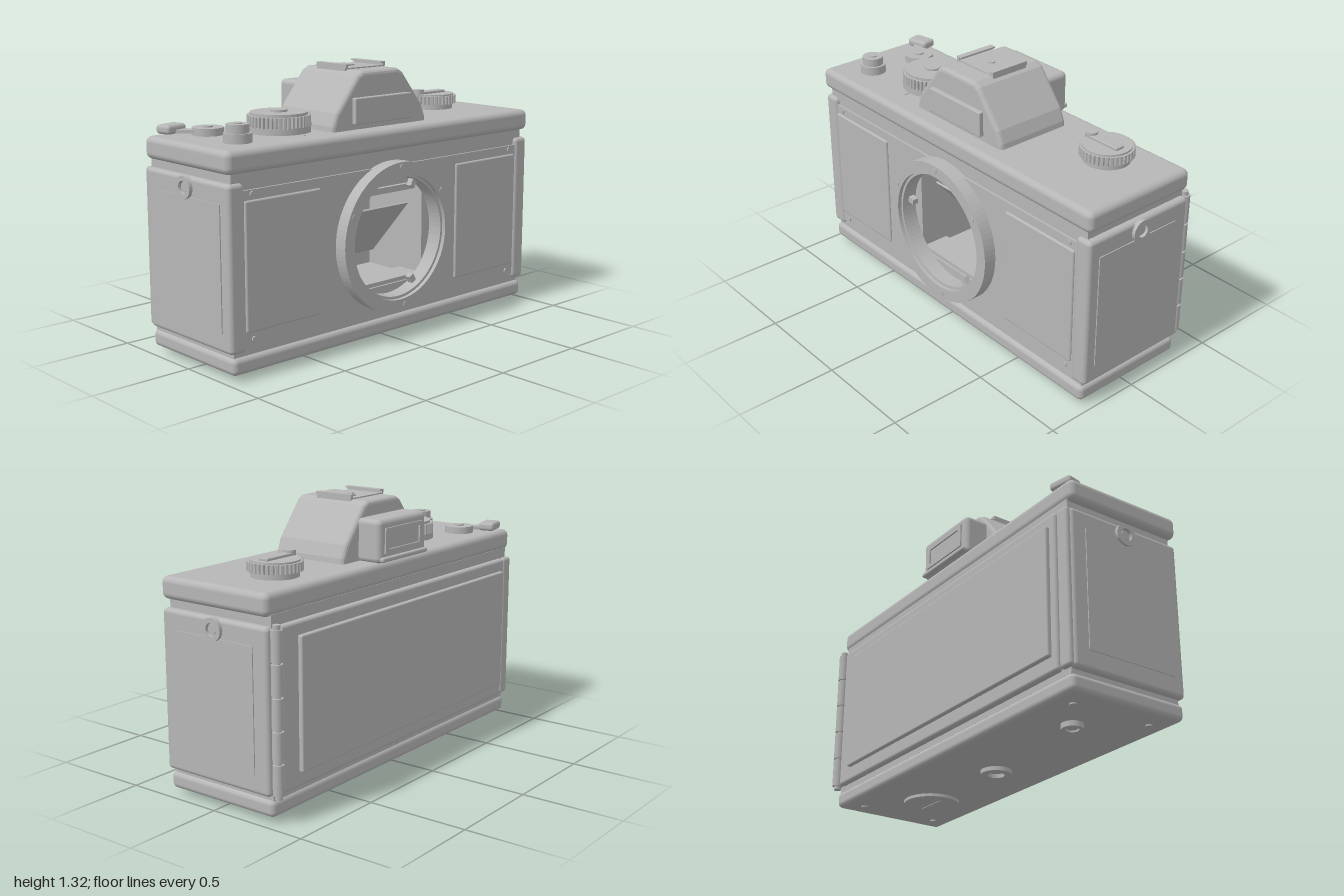
import * as THREE from 'three';
import { RoundedBoxGeometry } from 'three/addons/geometries/RoundedBoxGeometry.js';

export function createModel() {
  const camera = new THREE.Group();
  camera.name = 'filmCamera';
  const grey = new THREE.MeshStandardMaterial({ color: 0xb6b6b6 });
  grey.name = 'grey';

  const add = (name, geometry, parent = camera) => {
    const mesh = new THREE.Mesh(geometry, grey);
    mesh.name = name;
    parent.add(mesh);
    return mesh;
  };
  // Box given by its limits on each axis; a radius rounds its edges
  const box = (name, [x0, x1], [y0, y1], [z0, z1], r = 0, parent = camera) => {
    const w = x1 - x0, h = y1 - y0, d = z1 - z0;
    const g = r ? new RoundedBoxGeometry(w, h, d, 3, r) : new THREE.BoxGeometry(w, h, d);
    g.translate((x0 + x1) / 2, (y0 + y1) / 2, (z0 + z1) / 2);
    return add(name, g, parent);
  };
  // Disc along an axis, from a to b; u and v are the other two coordinates in x, y, z order
  const disc = (name, axis, u, v, a, b, r, sides = 40) => {
    const g = new THREE.CylinderGeometry(r, r, Math.abs(b - a), sides);
    const m = (a + b) / 2;
    if (axis === 'x') g.rotateZ(Math.PI / 2).translate(m, u, v);
    else if (axis === 'z') g.rotateX(Math.PI / 2).translate(u, v, m);
    else g.translate(u, m, v);
    return add(name, g);
  };
  const rect = (C, x0, x1, y0, y1) =>
    new C([[x0, y0], [x1, y0], [x1, y1], [x0, y1]].map(p => new THREE.Vector2(...p)));
  const circle = (C, x, y, r) => {
    const c = new C();
    c.absarc(x, y, r, 0, Math.PI * 2);
    return c;
  };
  const extrude = (shape, z0, z1) =>
    new THREE.ExtrudeGeometry(shape, { depth: z1 - z0, bevelEnabled: false, curveSegments: 40 }).translate(0, 0, z0);
  // Ring with a square section, facing +z
  const ring = (r, hole, z0, z1, x = 0, y = 0) => {
    const s = circle(THREE.Shape, x, y, r);
    s.holes.push(circle(THREE.Path, x, y, hole));
    return extrude(s, z0, z1);
  };

  // Covers and body core
  box('topCover', [-0.99, 0.985], [0.92, 1.025], [-0.315, 0.305], 0.03);
  box('bottomCover', [-0.97, 0.965], [0.025, 0.105], [-0.32, 0.3], 0.025);
  box('bodyBack', [-0.955, 0.95], [0.1, 0.93], [-0.31, -0.12]);

  const core = rect(THREE.Shape, -0.955, 0.95, 0.1, 0.93);
  core.holes.push(rect(THREE.Path, -0.245, 0.245, 0.25, 0.74));
  add('mirrorChamber', extrude(core, -0.12, 0.25));
  const front = rect(THREE.Shape, -0.955, 0.95, 0.1, 0.93);
  front.holes.push(circle(THREE.Path, 0, 0.505, 0.3));
  add('frontWall', extrude(front, 0.25, 0.28));
  const plate = rect(THREE.Shape, -0.91, 0.91, 0.145, 0.845);
  plate.holes.push(circle(THREE.Path, 0, 0.505, 0.3));
  add('frontPlate', extrude(plate, 0.28, 0.291));

  // Swung mirror and details in the chamber
  const mirror = box('mirror', [-0.238, 0.238], [-0.005, 0.005], [-0.19, 0.19]);
  mirror.position.set(0, 0.472, 0.035);
  mirror.rotation.x = -Math.atan2(0.285, 0.25);
  box('upperChamberRail', [-0.245, 0.245], [0.69, 0.72], [-0.12, 0.2]);
  box('lowerChamberRail', [-0.245, 0.245], [0.25, 0.27], [0.1, 0.24]);

  // Lens mount
  add('mountRing', ring(0.365, 0.305, 0.28, 0.355, 0, 0.505));
  add('mountInnerRing', ring(0.31, 0.292, 0.26, 0.335, 0, 0.505));
  for (const [x, y] of [[0, 0.845], [0.03, 0.17], [-0.305, 0.65], [0.275, 0.7]])
    disc('mountScrew', 'z', x, y, 0.35, 0.359, 0.015, 16);
  for (const a of [1.05, -1.05, 3.0]) {
    const tab = box('mountTab', [-0.02, 0.02], [-0.015, 0.015], [0.27, 0.3]);
    tab.position.set(0.275 * Math.cos(a), 0.505 + 0.275 * Math.sin(a), 0);
    tab.rotation.z = a;
  }

  // Both ends: wrapped side shells, grips, lugs and screws
  for (const s of [-1, 1]) {
    const span = (a, b) => (s > 0 ? [a, b] : [-b, -a]);
    box('sideShell', span(0.895, 0.983), [0.125, 0.88], [-0.315, 0.3], 0.02);
    box('sidePanel', span(0.975, 0.988), [0.215, 0.79], [-0.235, 0.24]);
    box('frontGrip', s > 0 ? [0.44, 0.888] : [-0.895, -0.46], [0.21, 0.8], [0.28, 0.301], 0.009);
    const lug = add('strapLug', ring(0.053, 0.03, 0, 0.022));
    lug.rotation.y = s * Math.PI / 2;
    lug.position.set(s * 0.978, 0.83, -0.01);
    disc('lugPin', 'x', 0.83, -0.01, s * 0.97, s * 0.992, 0.022, 20);
    for (const y of [0.175, 0.825]) disc('frontScrew', 'z', s * 0.85, y, 0.28, 0.298, 0.014, 16);
    for (const z of [-0.22, 0.2]) disc('bottomScrew', 'y', s * 0.85, z, 0.018, 0.04, 0.016, 16);
  }

  // Back door with raised panel and segmented hinge
  box('backDoor', [-0.9, 0.92], [0.13, 0.88], [-0.34, -0.3], 0.015);
  box('doorEdge', [-0.975, -0.905], [0.13, 0.88], [-0.335, -0.3], 0.015);
  box('backPanel', [-0.865, 0.81], [0.2, 0.82], [-0.361, -0.33], 0.008);
  for (let i = 0; i < 5; i++)
    disc('hingeBarrel', 'y', 0.945, -0.335, 0.135 + i * 0.149, 0.275 + i * 0.149, 0.026, 20);
  disc('hingePin', 'y', 0.945, -0.335, 0.115, 0.892, 0.017, 16);

  // Prism housing
  const outline = new THREE.Shape([[-0.295, 1], [0.295, 1], [0.288, 1.045], [0.265, 1.1], [0.135, 1.262],
    [0.11, 1.275], [-0.11, 1.275], [-0.135, 1.262], [-0.265, 1.1], [-0.288, 1.045]].map(p => new THREE.Vector2(...p)));
  add('prismHousing', new THREE.ExtrudeGeometry(outline, {
    depth: 0.365, bevelThickness: 0.02, bevelSize: 0.02, bevelSegments: 3,
  }).translate(0, 0, -0.175));
  box('blankFrontPlate', [-0.185, 0.185], [1.05, 1.175], [0.2, 0.233], 0.006);

  // Eyepiece
  box('eyepiece', [-0.19, 0.19], [1.02, 1.225], [-0.315, -0.17], 0.025);
  const frame = rect(THREE.Shape, -0.15, 0.15, 1.065, 1.185);
  frame.holes.push(rect(THREE.Path, -0.125, 0.125, 1.085, 1.165));
  add('eyepieceFrame', extrude(frame, -0.323, -0.31));
  box('eyepieceLip', [-0.18, 0.18], [1.028, 1.05], [-0.332, -0.28], 0.008);

  // Accessory shoe
  box('shoeBase', [-0.13, 0.13], [1.285, 1.301], [-0.1, 0.1]);
  for (const s of [-1, 1]) {
    box('shoeRail', s > 0 ? [0.115, 0.13] : [-0.13, -0.115], [1.3, 1.318], [-0.105, 0.105]);
    box('shoeLip', s > 0 ? [0.098, 0.13] : [-0.13, -0.098], [1.311, 1.319], [-0.105, 0.105]);
  }
  disc('shoeContact', 'y', 0, 0, 1.29, 1.307, 0.018, 20);

  // Knurled dials, built as a toothed outline turned upright
  const knurl = (name, x, z, y0, y1, r, teeth) => {
    const pts = [];
    for (let i = 0; i < teeth; i++)
      for (const [f, k] of [[0, 0.94], [0.2, 1], [0.7, 1], [0.9, 0.94]]) {
        const a = (i + f) / teeth * Math.PI * 2;
        pts.push(new THREE.Vector2(r * k * Math.cos(a), r * k * Math.sin(a)));
      }
    add(name, extrude(new THREE.Shape(pts), 0, y1 - y0).rotateX(-Math.PI / 2)).position.set(x, y0, z);
  };
  disc('speedDialBase', 'y', -0.455, 0, 1.02, 1.055, 0.15);
  knurl('speedDial', -0.455, 0, 1.052, 1.105, 0.15, 44);
  disc('speedDialTop', 'y', -0.455, 0, 1.1, 1.118, 0.135);
  disc('speedDialButton', 'y', -0.455, 0, 1.11, 1.128, 0.04);
  box('speedDialMark', [-0.46, -0.45], [1.02, 1.028], [0.155, 0.185]);

  // Rewind knob with folding crank
  disc('rewindBase', 'y', 0.675, -0.1, 1.02, 1.055, 0.11);
  knurl('rewindKnob', 0.675, -0.1, 1.052, 1.095, 0.127, 36);
  disc('rewindTop', 'y', 0.675, -0.1, 1.09, 1.103, 0.115);
  box('rewindCrank', [0.575, 0.755], [1.1, 1.116], [-0.125, -0.075], 0.006);
  disc('crankHandle', 'y', 0.575, -0.1, 1.095, 1.127, 0.029, 24);

  // Advance lever
  disc('leverHub', 'y', -0.755, -0.145, 1.02, 1.06, 0.073);
  disc('leverHubScrew', 'y', -0.755, -0.145, 1.05, 1.067, 0.025, 24);
  const arm = box('leverArm', [-0.075, 0.075], [1.035, 1.052], [-0.025, 0.025]);
  arm.position.set(-0.835, 0, -0.195);
  arm.rotation.y = -0.85;
  const tip = box('leverTip', [-0.06, 0.06], [1.032, 1.075], [-0.042, 0.042], 0.016);
  tip.position.set(-0.88, 0, -0.255);
  tip.rotation.y = 0.2;

  // Shutter release
  disc('releaseCollar', 'y', -0.793, 0.125, 1.02, 1.068, 0.064);
  disc('releaseButton', 'y', -0.793, 0.125, 1.06, 1.108, 0.052);
  disc('releaseSocket', 'y', -0.793, 0.125, 1.1, 1.113, 0.022, 24);

  // Underside fittings
  disc('batteryCover', 'y', 0.59, 0.02, 0.01, 0.04, 0.14);
  box('batterySlot', [0.51, 0.67], [0.007, 0.015], [0.014, 0.026]);
  const socket = add('tripodSocket', ring(0.075, 0.04, 0, 0.02));
  socket.rotation.x = Math.PI / 2;
  socket.position.set(0, 0.017, 0);
  disc('tripodInsert', 'y', 0, 0, 0.022, 0.04, 0.03, 24);
  const rewind = add('rewindRelease', ring(0.05, 0.03, 0, 0.03));
  rewind.rotation.x = Math.PI / 2;
  rewind.position.set(-0.665, 0.03, -0.075);
  disc('rewindReleaseButton', 'y', -0.665, -0.075, 0.006, 0.04, 0.025, 24);

  return camera;
}
